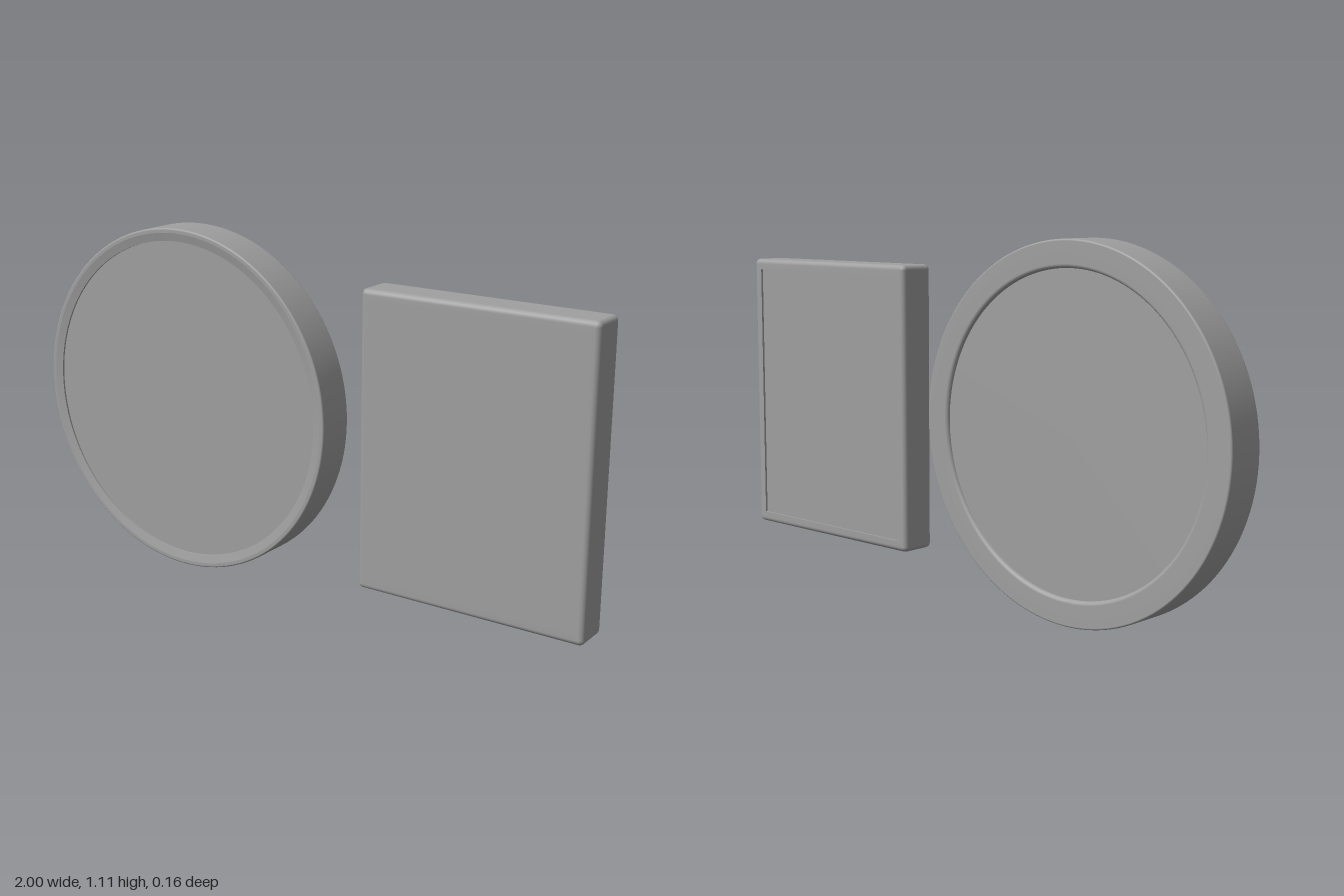
import * as THREE from 'three';

const grey = new THREE.MeshStandardMaterial({ color: 0xa0a0a0 });

function part(name, geometry, parent, z = 0) {
  const mesh = new THREE.Mesh(geometry, grey);
  mesh.name = name;
  mesh.position.z = z;
  parent.add(mesh);
  return mesh;
}

// Smooth turned band around z; points are [radius, z]
function turned(points) {
  const geo = new THREE.LatheGeometry(points.map(([r, z]) => new THREE.Vector2(r, z)), 128);
  geo.rotateX(Math.PI / 2);
  geo.computeVertexNormals();
  return geo;
}

// Quarter-round edge: arc points around (cx, cz) from angle a to a + 90 degrees
function arc(cx, cz, r, a, steps = 5) {
  return Array.from({ length: steps + 1 }, (_, i) => {
    const t = a + (i / steps) * Math.PI / 2;
    return [cx + r * Math.cos(t), cz + r * Math.sin(t)];
  });
}

// Rounded rectangle loops joined smoothly along a profile of [offset from outer edge, z]
function rectangularLoft(w, h, corner, profile) {
  const pos = [], index = [], steps = 5, n = 4 * (steps + 1);
  for (const [offset, z] of profile) {
    const r = Math.max(corner + offset, 0.001);
    const cx = w / 2 + offset - r, cy = h / 2 + offset - r;
    for (let q = 0; q < 4; q++) for (let i = 0; i <= steps; i++) {
      const a = (q + i / steps) * Math.PI / 2;
      const sx = q === 0 || q === 3 ? 1 : -1, sy = q < 2 ? 1 : -1;
      pos.push(sx * cx + r * Math.cos(a), sy * cy + r * Math.sin(a), z);
    }
  }
  for (let k = 0; k < profile.length - 1; k++) for (let i = 0; i < n; i++) {
    const a = k * n + i, b = k * n + (i + 1) % n;
    index.push(a, b, b + n, a, b + n, a + n);
  }
  const geo = new THREE.BufferGeometry();
  geo.setAttribute('position', new THREE.Float32BufferAttribute(pos, 3));
  geo.setIndex(index);
  geo.computeVertexNormals();
  return geo;
}

export function createModel() {
  const model = new THREE.Group();
  const PI = Math.PI;

  // Round plate: hoop with a wide back flange and a narrow front lip
  const disc = new THREE.Group();
  disc.name = 'roundPlate';
  disc.position.set(-0.443, 0.557, 0);
  model.add(disc);
  const R = 0.557, back = -0.079, front = 0.053, e = 0.006;
  part('roundRim', turned([
    ...arc(0.487, back + 0.012, 0.012, PI),
    ...arc(R - e, back + e, e, -PI / 2),
    ...arc(R - e, front - e, e, 0),
    [0.542, front],
  ]), disc);
  // Sloped lip and the small step down to the front panel
  part('roundFrontLip', turned([[0.542, front], [0.516, front - 0.006]]), disc);
  part('roundFrontStep', turned([[0.516, front - 0.006], [0.516, front - 0.012]]), disc);
  part('roundFrontPanel', new THREE.CircleGeometry(0.516, 128), disc, front - 0.012);
  part('roundBackPanel', new THREE.CircleGeometry(0.477, 128), disc, back + 0.012).rotation.y = PI;

  // Rectangular plate: soft-edged tray with a recessed back panel
  const plate = new THREE.Group();
  plate.name = 'rectangularPlate';
  plate.position.set(0.628, 0.556, 0);
  model.add(plate);
  const W = 0.74, H = 0.92, zb = -0.042, zf = 0.079, b = 0.016, border = 0.035, recess = 0.007;
  part('rectangularShell', rectangularLoft(W, H, b, [
    [-border, zb],
    ...arc(-b, zb + b, b, -PI / 2),
    ...arc(-b, zf - b, b, 0),
    [-border, zf],
  ]), plate);
  part('rectangularBackStep',
    rectangularLoft(W, H, b, [[-border, zb + recess], [-border, zb]]), plate);
  const panel = new THREE.PlaneGeometry(W - 2 * border, H - 2 * border);
  part('rectangularFrontFace', panel, plate, zf);
  part('rectangularBackPanel', panel, plate, zb + recess).rotation.y = PI;

  return model;
}
